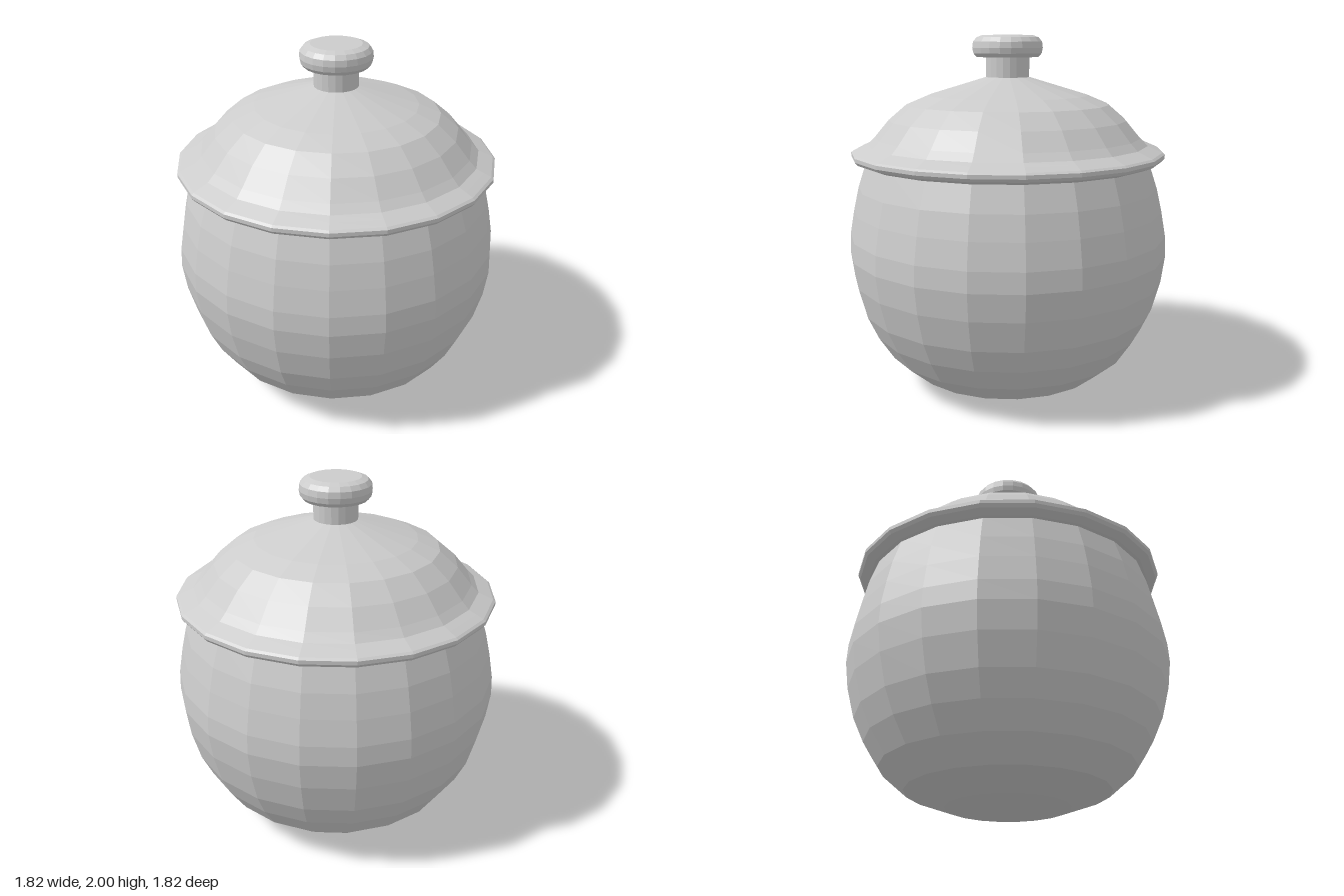
import * as THREE from 'three';

const SIDES = 20;
const material = new THREE.MeshStandardMaterial({ color: 0xcccccc, flatShading: true, side: THREE.DoubleSide });

// Faceted turned part from a [radius, height] profile, listed bottom to top
function turned(name, profile) {
  const points = profile.map(([r, y]) => new THREE.Vector2(r, y));
  const mesh = new THREE.Mesh(new THREE.LatheGeometry(points, SIDES), material);
  mesh.name = name;
  return mesh;
}

export function createModel() {
  const group = new THREE.Group();
  group.name = 'lidded pot';

  // Round-bellied bowl with a flat base; its mouth ends under the lid
  group.add(turned('bowl', [
    [0, 0], [0.34, 0], [0.56, 0.08], [0.7, 0.2], [0.785, 0.33], [0.845, 0.46],
    [0.89, 0.63], [0.91, 0.78], [0.905, 0.89], [0.88, 1.03], [0.85, 1.16], [0.8, 1.31],
  ]));

  // Domed lid with a flared, rounded rim
  group.add(turned('lid', [
    [0.75, 1.3], [0.825, 1.3], [0.872, 1.318], [0.885, 1.335], [0.885, 1.355], [0.872, 1.365],
    [0.83, 1.383], [0.79, 1.4], [0.75, 1.44], [0.67, 1.535], [0.57, 1.62],
    [0.45, 1.67], [0.12, 1.77], [0, 1.77],
  ]));

  // Knob on a short stem
  group.add(turned('knobStem', [[0.122, 1.76], [0.122, 1.89]]));
  group.add(turned('knob', [
    [0, 1.88], [0.175, 1.88], [0.192, 1.9], [0.198, 1.93], [0.194, 1.963],
    [0.175, 1.987], [0.14, 2], [0, 2],
  ]));

  return group;
}
